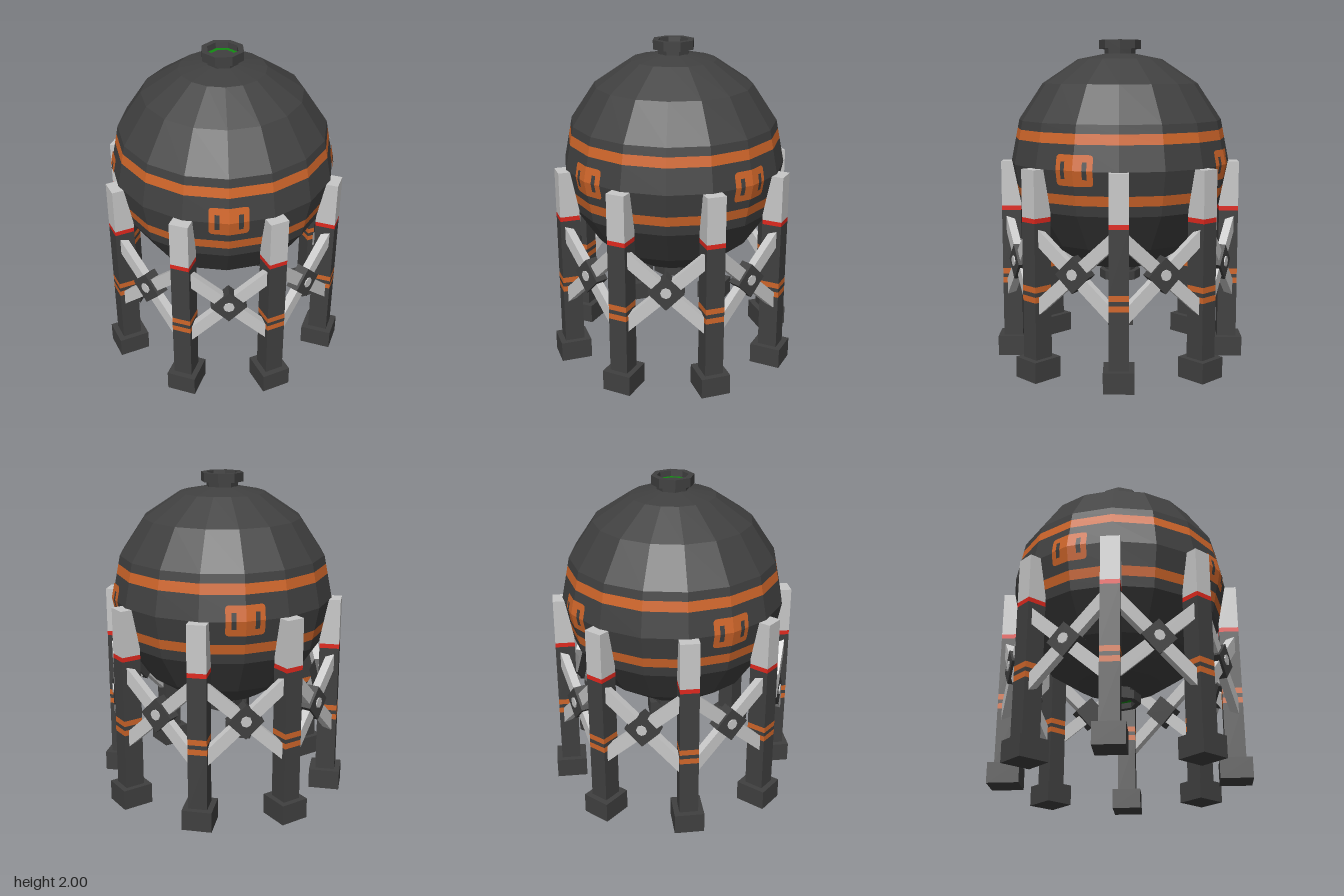
import * as THREE from 'three';

const mat = (name, color) => {
  const m = new THREE.MeshStandardMaterial({ color, flatShading: true });
  m.name = name;
  return m;
};

const CY = 1.25, R = 0.685; // tank centre height and radius
const SLOPE = Math.tan(Math.PI / 16); // lean of the facets next to the equator

export function createModel() {
  const dark = mat('dark grey', 0x404040);
  const light = mat('light grey', 0xc8c8c8);
  const orange = mat('orange', 0xd0662a);
  const red = mat('red', 0xe0281e);
  const green = mat('green', 0x128a12);
  const root = new THREE.Group();
  root.name = 'storageTank';

  const add = (parent, name, geo, material) => {
    const m = new THREE.Mesh(geo, material);
    m.name = name;
    parent.add(m);
    return m;
  };
  const group = (name, angle = 0) => {
    const g = new THREE.Group();
    g.name = name;
    g.rotation.y = angle;
    root.add(g);
    return g;
  };
  const lathe = (pts, n, phi = 0) =>
    new THREE.LatheGeometry(pts.map(p => new THREE.Vector2(...p)), n, phi);
  const poly = pts => new THREE.Shape(pts.map(p => new THREE.Vector2(...p)));

  // Spherical tank: 16-sided, its profile cut where the colour changes
  const ring = i => [R * Math.cos(i * Math.PI / 8), CY + R * Math.sin(i * Math.PI / 8)];
  const at = y => [R - Math.abs(y - CY) * SLOPE, y];
  const tank = group('tank');
  const low = at(1.05), low2 = at(1.11), high = at(1.40), high2 = at(1.46);
  add(tank, 'tankBottom', lathe([[0, CY - R], ring(-3), ring(-2), ring(-1), low], 16), dark);
  add(tank, 'lowerBand', lathe([low, low2], 16), orange);
  add(tank, 'tankMiddle', lathe([low2, ring(0), high], 16), dark);
  add(tank, 'upperBand', lathe([high, high2], 16), orange);
  add(tank, 'tankTop', lathe([high2, ring(1), ring(2), ring(3), [0, CY + R]], 16), dark);

  // Octagonal valves at both poles
  for (const s of [1, -1]) {
    const v = group(s > 0 ? 'topValve' : 'bottomValve');
    add(v, 'collar', lathe([[0.097, 1.9], [0.097, 1.945], [0.13, 1.945], [0.13, 2],
      [0.095, 2], [0.092, 1.965]], 8, Math.PI / 8), dark);
    add(v, 'port', lathe([[0.092, 1.965], [0.065, 1.965]], 8, Math.PI / 8), green);
    add(v, 'portCentre', lathe([[0.065, 1.965], [0, 1.965]], 8, Math.PI / 8), dark);
    if (s < 0) {
      v.rotation.x = Math.PI;
      v.position.y = 2 * CY;
    }
  }

  // Plain slotted panels, folded over the four facets around each side
  const onTank = shape => {
    const g = new THREE.ShapeGeometry(shape, 4);
    const p = g.attributes.position;
    for (let i = 0; i < p.count; i++)
      p.setZ(i, R + p.getZ(i) - SLOPE * (p.getX(i) + p.getY(i)));
    g.computeVertexNormals();
    return g;
  };
  const corner = new THREE.Shape();
  corner.moveTo(0, 0);
  corner.lineTo(0.115, 0);
  corner.lineTo(0.115, 0.065);
  corner.quadraticCurveTo(0.115, 0.09, 0.09, 0.09);
  corner.lineTo(0, 0.09);
  const panelGeo = onTank(corner);
  const slotGeo = onTank(poly([[0.055, 0], [0.082, 0], [0.082, 0.05], [0.055, 0.05]]));
  for (let k = 0; k < 4; k++) {
    const g = group('sidePanel', k * Math.PI / 2);
    for (const sx of [1, -1]) for (const sy of [1, -1]) {
      const plate = add(g, 'panelPlate', panelGeo, orange);
      const slot = add(g, 'panelSlot', slotGeo, dark);
      for (const m of [plate, slot]) m.scale.set(sx, sy, 1);
      plate.position.set(0, CY + 0.004, 0.005);
      slot.position.set(0, CY + 0.004, 0.009);
    }
  }

  // Leg: stacked coloured sections, outward along +z
  const sections = [
    ['legLower', 0.125, 0.47, dark], ['legStripe', 0.47, 0.505, orange],
    ['legGap', 0.505, 0.53, dark], ['legStripe', 0.53, 0.565, orange],
    ['legUpper', 0.565, 0.94, dark], ['legRedBand', 0.94, 0.968, red],
  ];
  const head = new THREE.ExtrudeGeometry(
    poly([[0.625, 0.968], [0.745, 0.968], [0.745, 1.25], [0.672, 1.25], [0.625, 1.0]]),
    { depth: 0.114, bevelEnabled: false });
  head.translate(0, 0, -0.057).rotateY(-Math.PI / 2);

  // Cross brace: two beams cut upright where they meet the legs
  const beam = s => {
    const x = 0.228, y = 0.207, t = 0.052;
    const pts = [[-x, -s * y - t], [x, s * y - t], [x, s * y + t], [-x, -s * y + t]];
    return new THREE.ExtrudeGeometry(poly(pts), { depth: 0.05, bevelEnabled: false });
  };
  const beams = [beam(1), beam(-1)];

  for (let k = 0; k < 8; k++) {
    const leg = group('leg', (k + 0.5) * Math.PI / 4);
    add(leg, 'foot', new THREE.BoxGeometry(0.18, 0.125, 0.192), dark)
      .position.set(0, 0.0625, 0.683);
    for (const [name, y0, y1, m] of sections)
      add(leg, name, new THREE.BoxGeometry(0.114, y1 - y0, 0.12), m)
        .position.set(0, (y0 + y1) / 2, 0.685);
    add(leg, 'legHead', head, light);

    const brace = group('crossBrace', k * Math.PI / 4);
    for (const b of beams) add(brace, 'braceBeam', b, light).position.set(0, 0.65, 0.635);
    const hub = add(brace, 'braceHub', new THREE.BoxGeometry(0.152, 0.152, 0.08), dark);
    hub.position.set(0, 0.655, 0.66);
    hub.rotation.z = Math.PI / 4;
    const bolt = add(brace, 'hubBolt', new THREE.CylinderGeometry(0.033, 0.033, 0.008, 8), light);
    bolt.position.set(0, 0.66, 0.703);
    bolt.rotation.x = Math.PI / 2;
  }
  return root;
}
